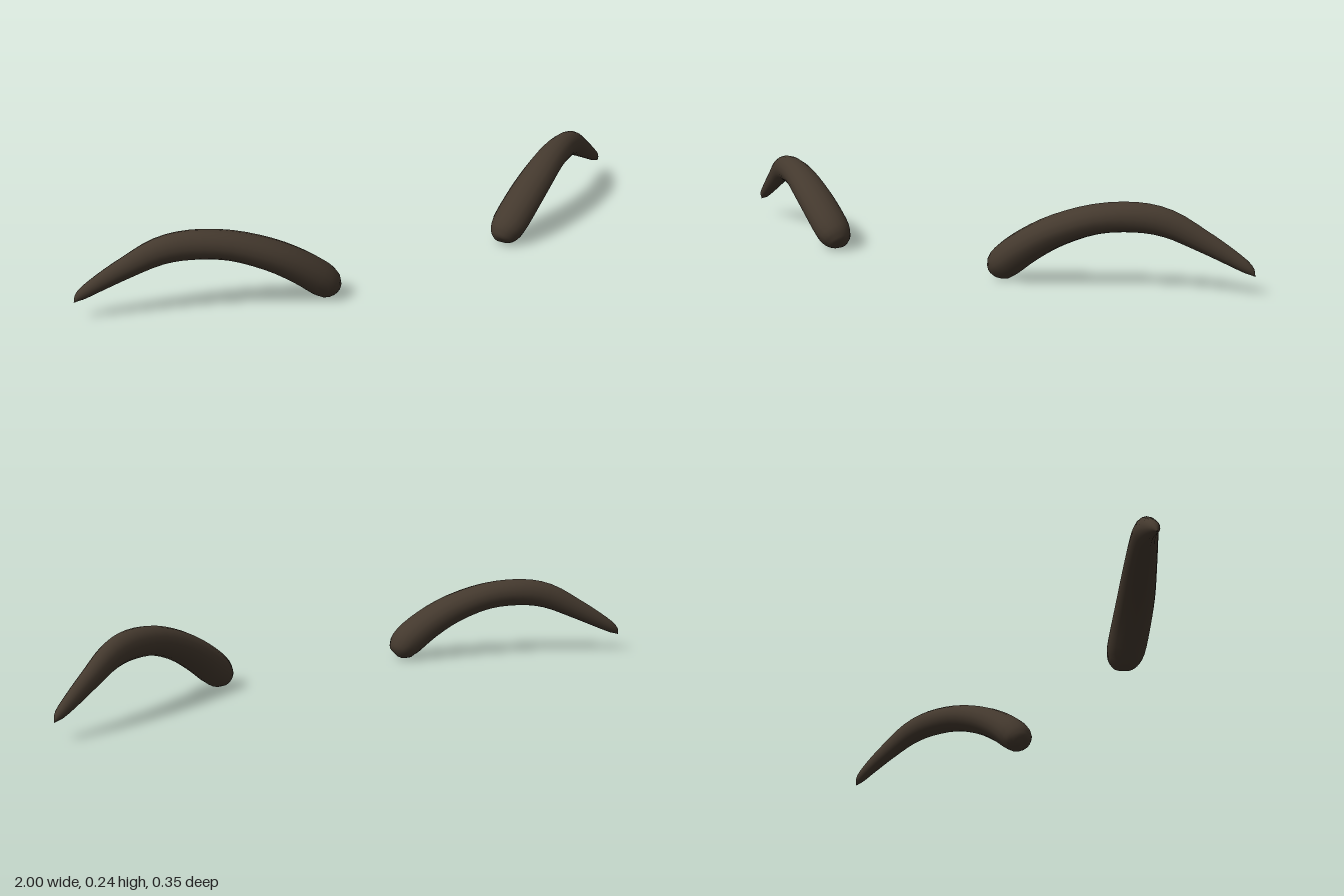
import * as THREE from 'three';

// Stations from the blunt inner end to the pointed outer end:
// centre x, y, z, then half height and half width of the cross-section
const STATIONS = [
  [0.315, 0.017, 0.121, 0, 0],
  [0.318, 0.021, 0.120, 0.023, 0.026],
  [0.330, 0.036, 0.119, 0.041, 0.045],
  [0.357, 0.064, 0.116, 0.050, 0.056],
  [0.420, 0.113, 0.098, 0.049, 0.057],
  [0.500, 0.160, 0.069, 0.046, 0.054],
  [0.600, 0.197, 0.024, 0.043, 0.047],
  [0.700, 0.207, -0.025, 0.043, 0.040],
  [0.780, 0.193, -0.066, 0.040, 0.034],
  [0.860, 0.151, -0.108, 0.032, 0.027],
  [0.930, 0.110, -0.142, 0.024, 0.021],
  [0.980, 0.078, -0.163, 0.015, 0.014],
  [1.000, 0.058, -0.168, 0, 0],
];
const SIDES = 16;
const RINGS = (STATIONS.length - 1) * 3;

const spline = (points) => new THREE.CatmullRomCurve3(points, false, 'catmullrom', 0.5);

// Tapered tube swept along the arch; sign mirrors it to the other side
function browGeometry(sign) {
  const path = spline(STATIONS.map(([x, y, z]) => new THREE.Vector3(sign * x, y, z)));
  const size = spline(STATIONS.map(([, , , h, w]) => new THREE.Vector3(h, w, 0)));
  const up = new THREE.Vector3(0, 1, 0);
  const positions = [];
  const indices = [];

  for (let i = 0; i <= RINGS; i++) {
    const t = i / RINGS;
    const centre = path.getPoint(t);
    const tangent = path.getTangent(t);
    const across = tangent.clone().cross(up).normalize();
    const normal = across.clone().cross(tangent);
    const half = size.getPoint(t);
    for (let j = 0; j < SIDES; j++) {
      const a = (j / SIDES) * Math.PI * 2;
      const p = centre.clone()
        .addScaledVector(across, Math.cos(a) * Math.max(0, half.y))
        .addScaledVector(normal, Math.sin(a) * Math.max(0, half.x));
      positions.push(p.x, p.y, p.z);
      if (i === RINGS) continue;
      const k = (j + 1) % SIDES;
      const a0 = i * SIDES + j, b0 = i * SIDES + k;
      indices.push(a0, a0 + SIDES, b0, b0, a0 + SIDES, b0 + SIDES);
    }
  }

  const geometry = new THREE.BufferGeometry();
  geometry.setAttribute('position', new THREE.Float32BufferAttribute(positions, 3));
  geometry.setIndex(indices);
  geometry.computeVertexNormals();
  return geometry;
}

export function createModel() {
  const group = new THREE.Group();
  group.name = 'eyebrows';
  const material = new THREE.MeshStandardMaterial({ color: 0x44392e });
  for (const [name, sign] of [['leftEyebrow', 1], ['rightEyebrow', -1]]) {
    const brow = new THREE.Mesh(browGeometry(sign), material);
    brow.name = name;
    group.add(brow);
  }
  return group;
}
